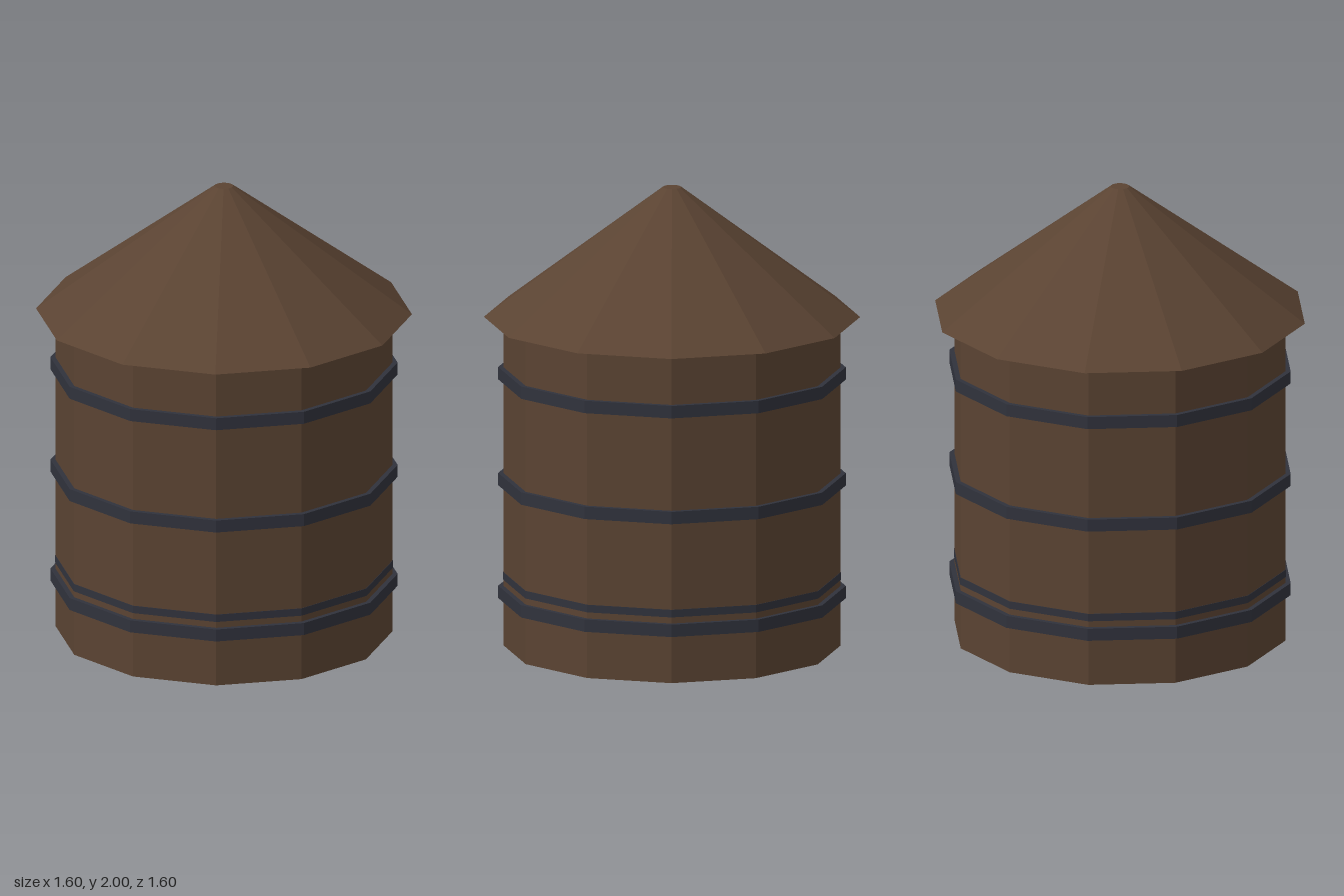
import * as THREE from 'three';

const SIDES = 12;

export function createModel() {
  const model = new THREE.Group();
  model.name = 'waterTank';

  const wood = new THREE.MeshStandardMaterial({ color: 0x5a4332, flatShading: true });
  wood.name = 'dark wood';
  const iron = new THREE.MeshStandardMaterial({ color: 0x30323c, flatShading: true });
  iron.name = 'dark iron';

  // Twelve-sided drum or cone standing between two heights
  function drum(name, topRadius, bottomRadius, y0, y1, material) {
    const geometry = new THREE.CylinderGeometry(topRadius, bottomRadius, y1 - y0, SIDES);
    const mesh = new THREE.Mesh(geometry, material);
    mesh.name = name;
    mesh.position.y = (y0 + y1) / 2;
    model.add(mesh);
  }

  // Barrel and overhanging roof with a small flat tip
  drum('barrel', 0.717, 0.717, 0, 1.433, wood);
  drum('roof', 0.04, 0.8, 1.433, 2, wood);

  // Raised hoops around the barrel
  [0.233, 0.725, 1.187].forEach((y, i) => {
    drum(`hoop${i + 1}`, 0.739, 0.739, y - 0.027, y + 0.027, iron);
  });

  // Thin flush stripe above the lowest hoop
  drum('flushStripe', 0.719, 0.719, 0.287, 0.32, iron);

  return model;
}
